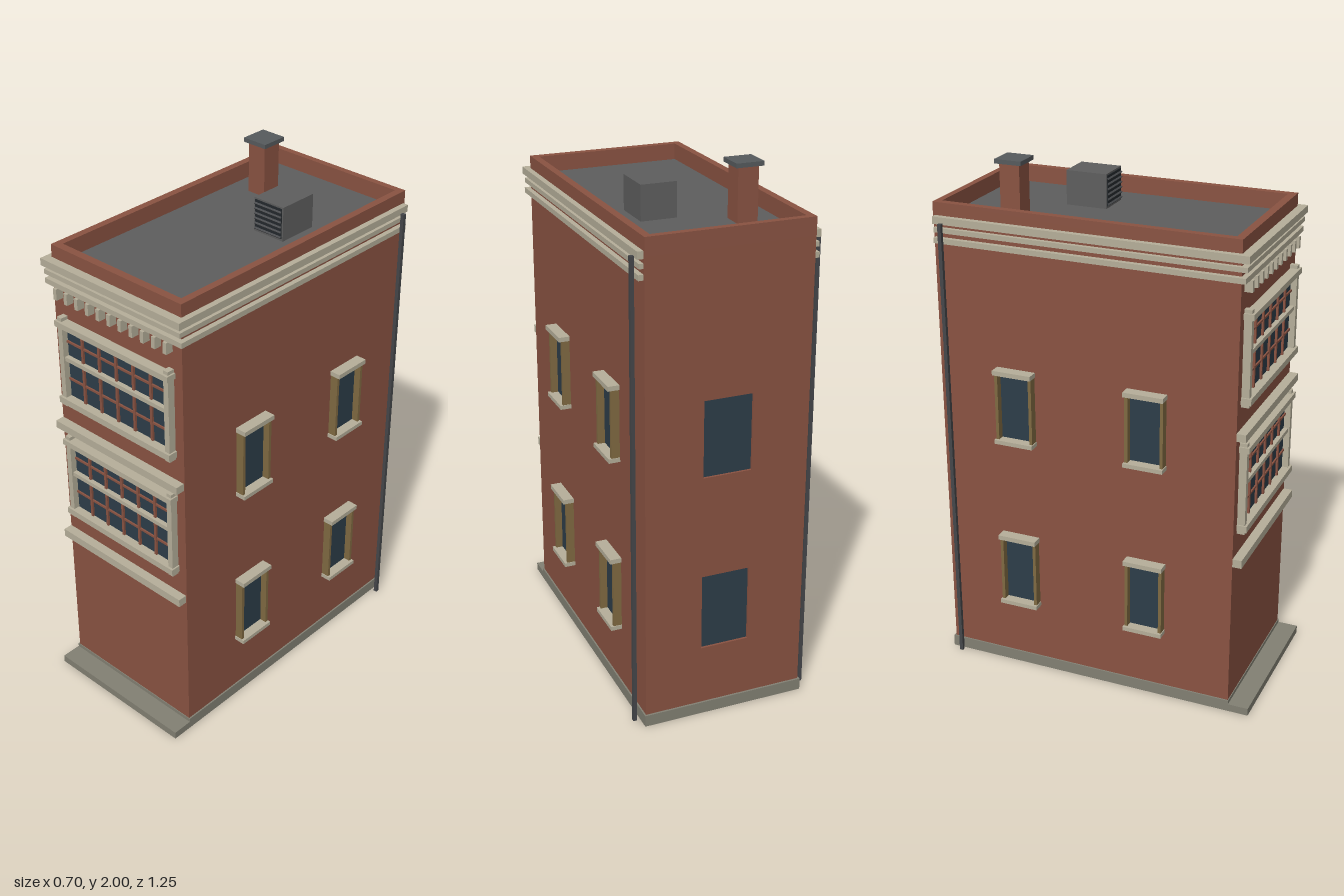
import * as THREE from 'three';

const mat = (name, color) => {
  const m = new THREE.MeshStandardMaterial({ color });
  m.name = name;
  return m;
};

export function createModel() {
  const brick = mat('brick', 0x8a5342), cream = mat('cream trim', 0xb6af9a);
  const glass = mat('window glass', 0x2d3d49), tan = mat('tan jamb', 0x806a42);
  const stone = mat('base stone', 0x828073), roofGrey = mat('roof grey', 0x5e5e5e);
  const pipeGrey = mat('pipe grey', 0x45474a), capGrey = mat('cap grey', 0x565a5d);
  const dark = mat('vent dark', 0x24292d);
  const root = new THREE.Group();
  root.name = 'building';

  // box given by its min and max on each axis
  const box = (name, m, x0, x1, y0, y1, z0, z1, parent = root) => {
    const mesh = new THREE.Mesh(new THREE.BoxGeometry(x1 - x0, y1 - y0, z1 - z0), m);
    mesh.position.set((x0 + x1) / 2, (y0 + y1) / 2, (z0 + z1) / 2);
    mesh.name = name;
    parent.add(mesh);
    return mesh;
  };
  const rect = (P, x0, x1, y0, y1) => {
    const p = new P();
    p.moveTo(x0, y0); p.lineTo(x1, y0); p.lineTo(x1, y1); p.lineTo(x0, y1); p.closePath();
    return p;
  };
  const group = (name) => {
    const g = new THREE.Group();
    g.name = name;
    root.add(g);
    return g;
  };

  const W = 0.309, F = 0.545, B = -0.617, ROOF = 1.785;
  const levels = [[0.28, 0.57], [0.965, 1.25]];

  // base and front pavement step
  box('base', stone, -0.315, 0.315, 0, 0.045, -0.625, 0.548);
  box('frontStep', stone, -0.315, 0.315, 0, 0.03, 0.548, 0.627);

  // main body, with a thin rear wall pierced for recessed windows
  box('walls', brick, -W, W, 0.045, ROOF, B + 0.014, F);
  const rear = rect(THREE.Shape, -W, W, 0.045, ROOF);
  levels.forEach(([y0, y1]) => rear.holes.push(rect(THREE.Path, -0.092, 0.092, y0 - 0.005, y1)));
  const rearWall = new THREE.Mesh(new THREE.ExtrudeGeometry(rear, { depth: 0.014, bevelEnabled: false }), brick);
  rearWall.position.z = B;
  rearWall.name = 'rearWall';
  root.add(rearWall);
  levels.forEach(([y0, y1]) => box('rearGlass', glass, -0.092, 0.092, y0 - 0.005, y1, B + 0.009, B + 0.0145));

  // parapet ring and roof surface
  const ring = rect(THREE.Shape, -W, W, -F, -B + 0.002);
  ring.holes.push(rect(THREE.Path, -0.281, 0.281, -0.515, 0.594));
  const parapet = new THREE.Mesh(new THREE.ExtrudeGeometry(ring, { depth: 1.85 - ROOF, bevelEnabled: false }), brick);
  parapet.rotation.x = -Math.PI / 2;
  parapet.position.y = ROOF;
  parapet.name = 'parapet';
  root.add(parapet);
  box('roof', roofGrey, -0.281, 0.281, ROOF - 0.002, ROOF + 0.003, -0.594, 0.515);

  // three cornice bands wrapping the front and both sides
  const cornice = group('cornice');
  [[1.775, 1.802, 0.022, 0.033], [1.742, 1.76, 0.016, 0.025], [1.703, 1.723, 0.019, 0.021]].forEach(([y0, y1, s, f]) => {
    box('corniceFront', cream, -W - s, W + s, y0, y1, F, F + f, cornice);
    for (const k of [-1, 1]) {
      const c = k * (W + s / 2);
      box('corniceSide', cream, c - s / 2, c + s / 2, y0, y1, -0.611, F, cornice);
    }
  });
  for (let i = -5; i <= 5; i++) {
    box('dentil', cream, i * 0.053 - 0.014, i * 0.053 + 0.002, 1.66, 1.703, F, 0.575, cornice);
  }

  // string courses across the front
  [[0.62, 0.652], [1.12, 1.15]].forEach(([y0, y1]) => box('stringCourse', cream, -W, 0.305, y0, y1, F, 0.58));

  // wide front windows
  const frontWindow = (y) => {
    const g = group('frontWindow');
    g.position.y = y;
    box('glass', glass, -0.25, 0.25, 0.035, 0.33, F, F + 0.005, g);
    for (const k of [-1, 1]) box('post', cream, k * 0.259 - 0.011, k * 0.259 + 0.011, 0, 0.36, F, 0.574, g);
    box('lintel', cream, -0.276, 0.276, 0.325, 0.347, F, 0.583, g);
    box('sill', cream, -0.276, 0.276, 0.012, 0.037, F, 0.583, g);
    box('meetingRail', cream, -0.25, 0.25, 0.188, 0.204, F, 0.568, g);
    for (let i = -2; i <= 2; i++) box('muntin', brick, i * 0.084 - 0.005, i * 0.084 + 0.005, 0.037, 0.325, F, 0.558, g);
    for (const h of [0.11, 0.262]) box('crossMuntin', brick, -0.25, 0.25, h - 0.004, h + 0.004, F, 0.556, g);
  };
  frontWindow(1.235);
  frontWindow(0.738);

  // framed windows on both sides
  const sideWindow = (k, zc, y0, y1) => {
    const g = group('sideWindow');
    const part = (name, m, d, a, b, c, e) =>
      box(name, m, Math.min(k * W, k * (W + d)), Math.max(k * W, k * (W + d)), a, b, c, e, g);
    part('glass', glass, 0.005, y0, y1, zc - 0.065, zc + 0.065);
    part('lintel', cream, 0.043, y1 - 0.014, y1 + 0.004, zc - 0.077, zc + 0.077);
    part('sill', cream, 0.043, y0 - 0.004, y0 + 0.012, zc - 0.077, zc + 0.077);
    for (const s of [-1, 1]) part('jamb', tan, 0.032, y0 + 0.012, y1 - 0.014, zc + s * 0.068 - 0.006, zc + s * 0.068 + 0.006);
  };
  for (const k of [-1, 1]) {
    for (const zc of [0.209, -0.307]) levels.forEach(([y0, y1]) => sideWindow(k, zc, y0, y1));
    // downpipe near the rear corner
    box('downpipe', pipeGrey, k * 0.338 - 0.007, k * 0.338 + 0.007, 0.005, 1.78, -0.584, -0.57);
  }

  // chimney
  box('chimney', brick, -0.195, -0.118, ROOF, 1.985, -0.406, -0.328);
  box('chimneyCap', capGrey, -0.208, -0.105, 1.984, 2, -0.419, -0.315);

  // rooftop ventilation unit with front louvres
  box('ventUnit', roofGrey, 0.041, 0.175, ROOF, 1.917, -0.256, -0.097);
  box('ventGrille', dark, 0.047, 0.169, 1.797, 1.911, -0.097, -0.094);
  for (let i = 0; i < 6; i++) {
    const y = 1.805 + i * 0.019;
    const slat = box('ventSlat', pipeGrey, 0.047, 0.169, y - 0.002, y + 0.002, -0.102, -0.088);
    slat.rotation.x = 0.6;
  }
  return root;
}
